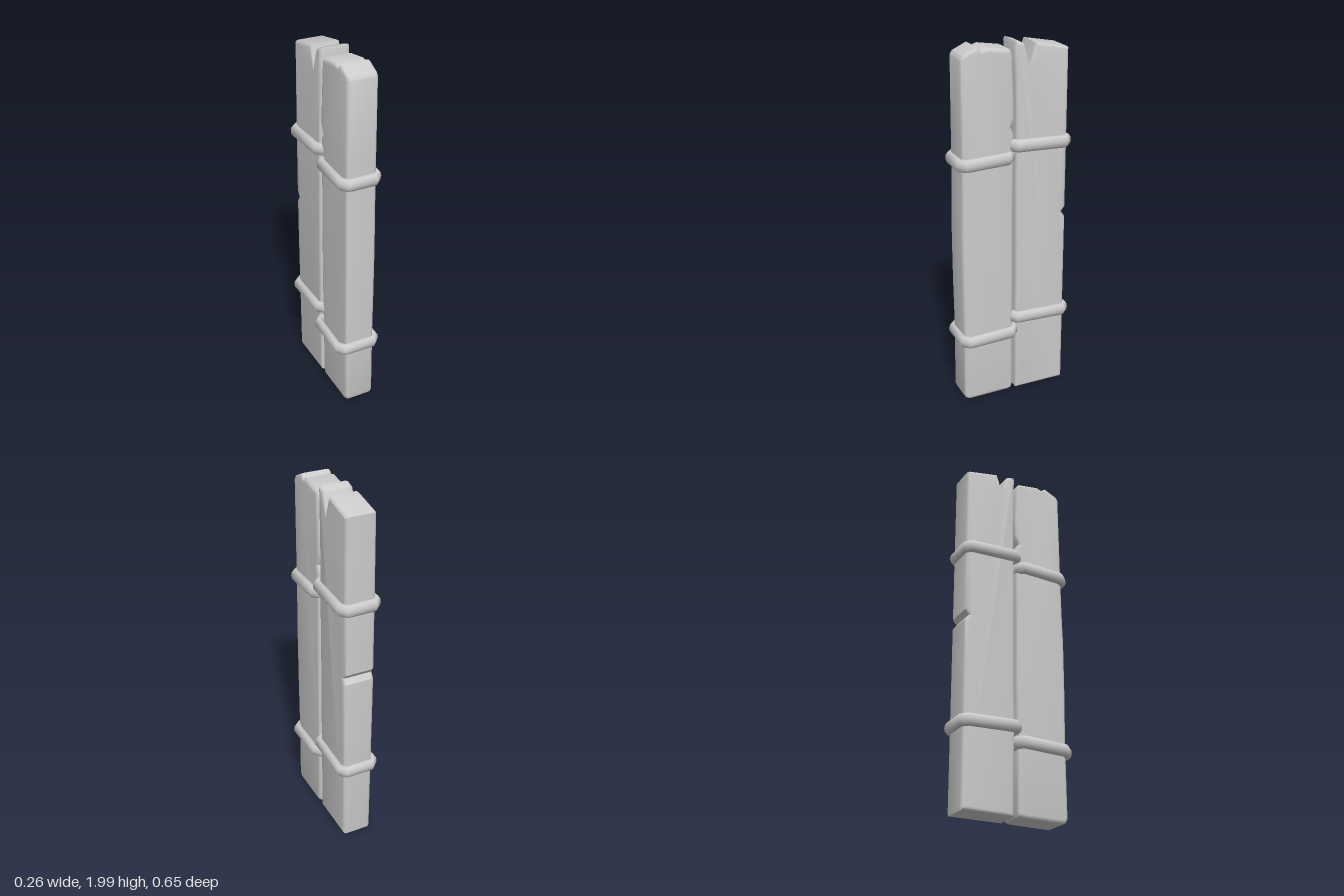
import * as THREE from 'three';
import { toCreasedNormals } from 'three/addons/utils/BufferGeometryUtils.js';

const material = new THREE.MeshStandardMaterial({ color: 0xcccccc });

function addMesh(group, name, geometry, crease) {
  const mesh = new THREE.Mesh(toCreasedNormals(geometry, crease), material);
  mesh.name = name;
  group.add(mesh);
}

// Weathered board: a side outline of [-z, y] points, extruded across x with rounded edges
function plankGeometry(outline) {
  const bevel = 0.018, x0 = -0.075, x1 = 0.09;
  const shape = new THREE.Shape(outline.map(([a, y]) => new THREE.Vector2(a, y)));
  const geo = new THREE.ExtrudeGeometry(shape, {
    depth: x1 - x0 - 2 * bevel, bevelEnabled: true, bevelThickness: bevel,
    bevelSize: bevel, bevelOffset: -bevel, bevelSegments: 3,
  });
  geo.translate(0, 0, x0 + bevel);
  geo.rotateY(Math.PI / 2);
  // slight swelling of the right-hand face towards mid-height
  const p = geo.attributes.position;
  for (let i = 0; i < p.count; i++) {
    if (p.getX(i) < 0) p.setX(i, p.getX(i) - 0.006 * Math.sin(Math.PI * p.getY(i) / 2));
  }
  return geo;
}

// Rope band: oval section swept round a rectangle with cut corners, tilted along z
function bandGeometry({ x0, x1, z0, z1, yBack, yFront }) {
  const sides = 12, rx = 0.022, ry = 0.035, cut = 0.04;
  const cx = (x0 + x1) / 2, cz = (z0 + z1) / 2;
  const pos = [], index = [];
  for (let j = 0; j < sides; j++) {
    const t = j / sides * Math.PI * 2;
    const inset = rx * (1 - Math.cos(t));
    const hx = (x1 - x0) / 2 - inset, hz = (z1 - z0) / 2 - inset;
    const c = cut - inset * 0.586;
    const loop = [[hx, hz - c], [hx - c, hz], [c - hx, hz], [-hx, hz - c],
      [-hx, c - hz], [c - hx, -hz], [hx - c, -hz], [hx, c - hz]];
    for (const [x, z] of loop) {
      const y = THREE.MathUtils.lerp(yBack, yFront, (z + cz - z0) / (z1 - z0));
      pos.push(cx + x, y + ry * Math.sin(t), cz + z);
    }
  }
  for (let j = 0; j < sides; j++) {
    for (let i = 0; i < 8; i++) {
      const n = (j + 1) % sides, k = (i + 1) % 8;
      const a = j * 8 + i, b = j * 8 + k, c = n * 8 + k, d = n * 8 + i;
      index.push(a, d, b, b, d, c);
    }
  }
  const geo = new THREE.BufferGeometry();
  geo.setAttribute('position', new THREE.Float32BufferAttribute(pos, 3));
  geo.setIndex(index);
  return geo;
}

export function createModel() {
  const group = new THREE.Group();
  group.name = 'boundPlanks';

  // Front board, with a shallow dip on top and a chipped inner edge
  addMesh(group, 'frontPlank', plankGeometry([
    [-0.305, 0.04], [-0.297, 0.018], [-0.275, 0.007], [-0.04, 0.01], [-0.022, 0.018], [-0.015, 0.04],
    [-0.014, 0.4], [-0.01, 0.7], [-0.011, 1.1], [-0.007, 1.48], [-0.008, 1.53], [-0.024, 1.56],
    [-0.003, 1.61], [-0.005, 1.72], [-0.013, 1.88], [-0.017, 1.945], [-0.028, 1.963],
    [-0.15, 1.982], [-0.18, 1.972], [-0.205, 1.99], [-0.28, 1.955], [-0.293, 1.935],
    [-0.295, 1.5], [-0.298, 1.2], [-0.303, 1.0], [-0.303, 0.7], [-0.3, 0.45],
  ]), 0.6);

  // Back board, with a split in the top and a chip in the outer edge
  addMesh(group, 'backPlank', plankGeometry([
    [0.006, 0.01], [0.295, 0.01], [0.298, 0.03], [0.298, 0.8], [0.298, 1.02], [0.276, 1.05],
    [0.298, 1.078], [0.298, 1.5], [0.298, 1.945], [0.285, 1.952], [0.112, 1.985], [0.08, 1.88],
    [0.053, 1.98], [0.045, 1.988], [0.004, 2.0], [-0.001, 1.985], [0.002, 1.84], [0.006, 1.6],
    [0.003, 1.3], [0.005, 0.9], [0.003, 0.5],
  ]), 0.6);

  // Two bands around each board
  const bands = {
    frontUpperBand: { x0: -0.12, x1: 0.122, z0: 0, z1: 0.323, yBack: 1.405, yFront: 1.393 },
    frontLowerBand: { x0: -0.133, x1: 0.13, z0: -0.015, z1: 0.323, yBack: 0.392, yFront: 0.38 },
    backUpperBand: { x0: -0.116, x1: 0.125, z0: -0.322, z1: 0.04, yBack: 1.453, yFront: 1.467 },
    backLowerBand: { x0: -0.116, x1: 0.125, z0: -0.326, z1: 0.038, yBack: 0.462, yFront: 0.475 },
  };
  for (const [name, b] of Object.entries(bands)) addMesh(group, name, bandGeometry(b), 0.9);

  return group;
}
